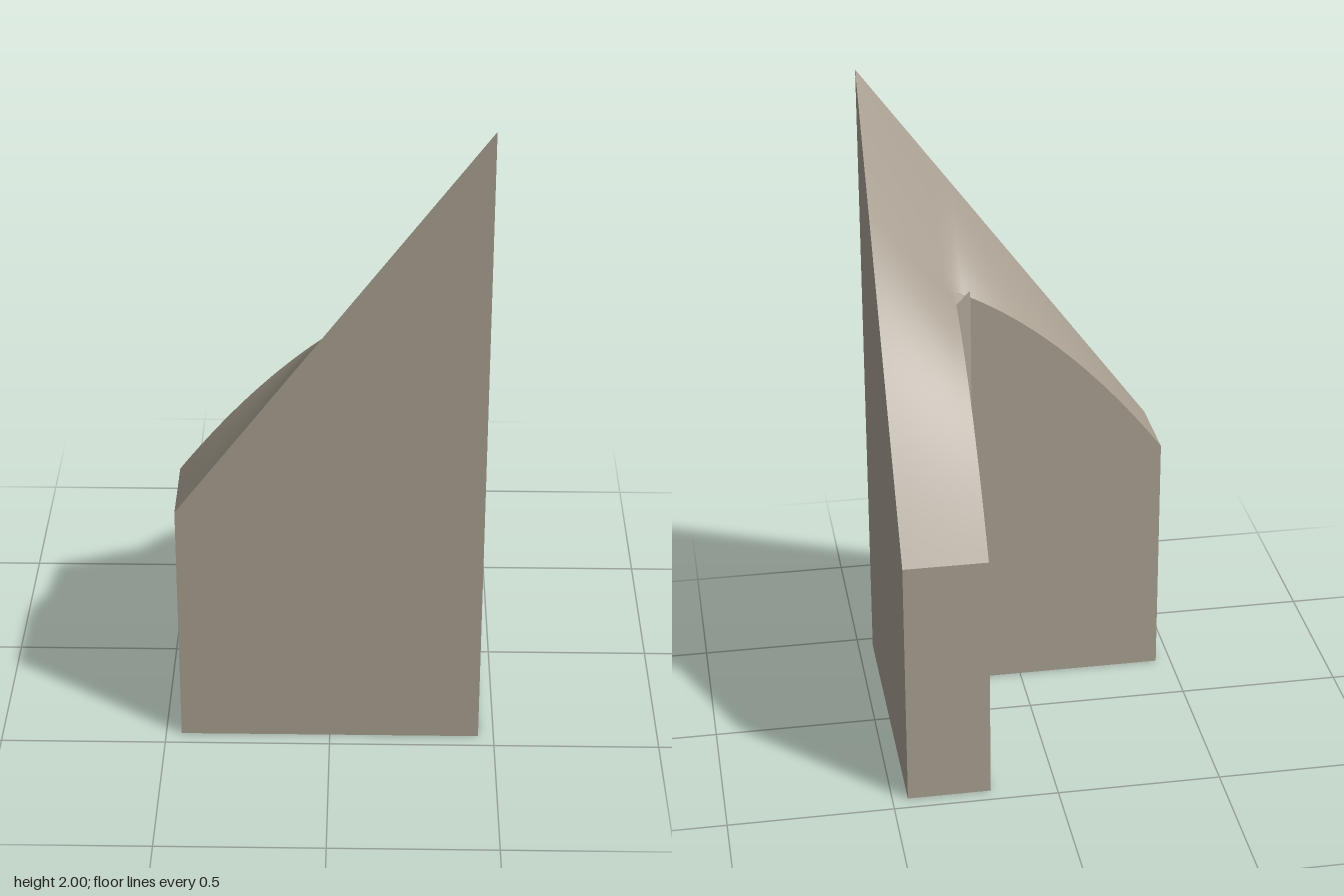
import * as THREE from 'three';
import { mergeVertices } from 'three/addons/utils/BufferGeometryUtils.js';

const E = 0.453;        // outer half width
const IN = 0.2;         // inner face of both arms
const W = E - IN;       // arm width
const LOW = 0.79, HIGH = 2;
const SLOPE = (HIGH - LOW) / (2 * E);

// Height on an arm: straight on the outer edge, sagging towards the inner edge
const armHeight = (across, along) => LOW + SLOPE * along - 0.69 * along * along * (across / W);

// Height of the sloped top anywhere on the L-shaped plan
function topHeight(x, z) {
  const p = E - x, q = E - z;
  if (q > W) return armHeight(Math.min(p, W), 2 * E - q);
  if (p > W) return armHeight(q, 2 * E - p);
  const edge = armHeight(0, 2 * E - W), inner = armHeight(W, 2 * E - W);
  const u = p / W, v = q / W;
  return HIGH * (1 - u) * (1 - v) + edge * (u * (1 - v) + v * (1 - u)) + inner * u * v;
}

function toGeometry(points) {
  const g = new THREE.BufferGeometry();
  g.setAttribute('position', new THREE.Float32BufferAttribute(points, 3));
  return g;
}

// Grid of top triangles over a rectangle of the plan
function addPatch(out, x0, x1, z0, z1, nx, nz) {
  const pt = (i, j) => {
    const x = x0 + (x1 - x0) * i / nx, z = z0 + (z1 - z0) * j / nz;
    return [x, topHeight(x, z), z];
  };
  for (let i = 0; i < nx; i++) for (let j = 0; j < nz; j++) {
    const a = pt(i, j), b = pt(i, j + 1), c = pt(i + 1, j + 1), d = pt(i + 1, j);
    out.push(...a, ...b, ...d, ...b, ...c, ...d);
  }
}

export function createModel() {
  const group = new THREE.Group();
  group.name = 'cornerPost';
  const stone = new THREE.MeshStandardMaterial({ color: 0xa89f91, side: THREE.DoubleSide });
  stone.name = 'warm grey stone';

  // Upright walls around the open-bottomed L plan
  const plan = [[-E, E], [E, E], [E, -E], [IN, -E], [IN, 0.15], [0.15, IN], [-E, IN]];
  const walls = [];
  plan.forEach((a, k) => {
    const b = plan[(k + 1) % plan.length];
    const n = 24;
    for (let i = 0; i < n; i++) {
      const [s, t] = [i / n, (i + 1) / n].map(f => [a[0] + (b[0] - a[0]) * f, a[1] + (b[1] - a[1]) * f]);
      const s0 = [s[0], 0, s[1]], t0 = [t[0], 0, t[1]];
      const s1 = [s[0], topHeight(...s), s[1]], t1 = [t[0], topHeight(...t), t[1]];
      walls.push(...s0, ...t0, ...t1, ...s0, ...t1, ...s1);
    }
  });
  const wallGeometry = toGeometry(walls);
  wallGeometry.computeVertexNormals();
  const wallMesh = new THREE.Mesh(wallGeometry, stone);
  wallMesh.name = 'walls';

  // Smooth sloping top: two arms, the corner and the small inner chamfer
  const top = [];
  addPatch(top, IN, E, -E, IN, 8, 24);
  addPatch(top, -E, IN, IN, E, 24, 8);
  addPatch(top, IN, E, IN, E, 8, 8);
  [[IN, 0.15], [0.15, IN], [IN, IN]].forEach(([x, z]) => top.push(x, topHeight(x, z), z));
  const topGeometry = mergeVertices(toGeometry(top), 1e-4);
  topGeometry.computeVertexNormals();
  const topMesh = new THREE.Mesh(topGeometry, stone);
  topMesh.name = 'slopedTop';

  group.add(wallMesh, topMesh);
  return group;
}
